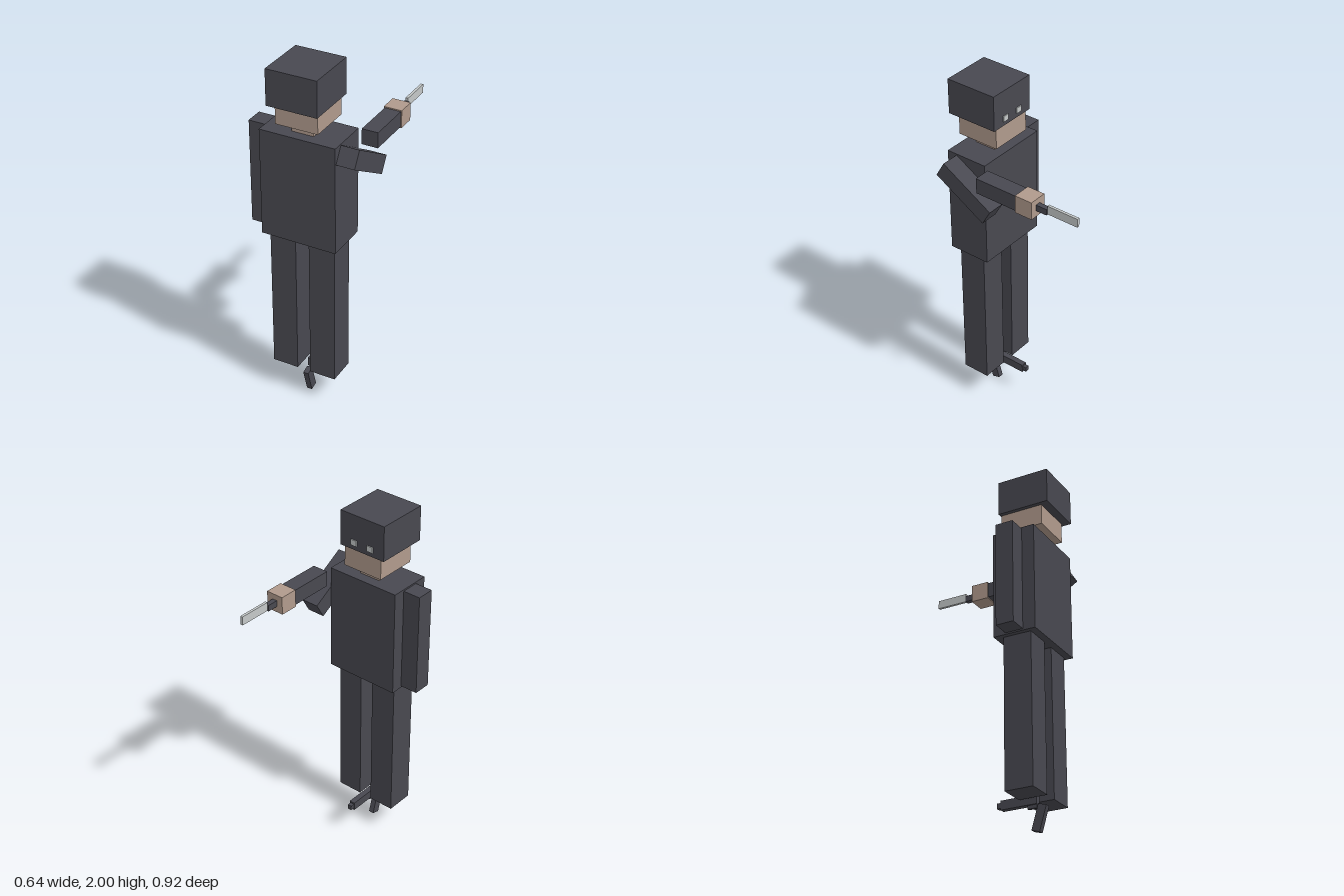
import * as THREE from 'three';

const dark = new THREE.MeshStandardMaterial({ name: 'charcoal', color: 0x484850 });
const skin = new THREE.MeshStandardMaterial({ name: 'skin', color: 0xb09a8c });
const pale = new THREE.MeshStandardMaterial({ name: 'paleMetal', color: 0xc4c8c8 });

// Box from centre and size, optionally tilted about x
function box(parent, name, material, [w, h, d], [x, y, z], tilt = 0) {
  const mesh = new THREE.Mesh(new THREE.BoxGeometry(w, h, d), material);
  mesh.name = name;
  mesh.position.set(x, y, z);
  mesh.rotation.x = tilt;
  parent.add(mesh);
  return mesh;
}

function group(parent, name) {
  const g = new THREE.Group();
  g.name = name;
  parent.add(g);
  return g;
}

export function createModel() {
  const model = new THREE.Group();
  model.name = 'blockFigure';

  // Head: helmet over a skin jaw and neck, face turned to -z
  const head = group(model, 'head');
  box(head, 'helmet', dark, [0.286, 0.2, 0.299], [0, 1.9, 0.31]);
  box(head, 'jaw', skin, [0.24, 0.117, 0.245], [0, 1.742, 0.29]);
  box(head, 'neck', skin, [0.126, 0.055, 0.125], [0, 1.657, 0.29]);
  for (const s of [-1, 1]) {
    box(head, 'eye', pale, [0.038, 0.032, 0.006], [s * 0.053, 1.841, 0.158]);
  }

  // Body and legs
  box(model, 'torso', dark, [0.432, 0.61, 0.245], [0, 1.325, 0.29]);
  for (const s of [-1, 1]) {
    box(model, 'leg', dark, [0.15, 0.845, 0.16], [s * 0.114, 0.5975, 0.293]);
  }

  // Hanging arm
  box(model, 'hangingArm', dark, [0.103, 0.592, 0.102], [-0.267, 1.325, 0.29]);

  // Reaching arm: tilted upper arm, level forearm and hand
  const arm = group(model, 'reachingArm');
  box(arm, 'upperArm', dark, [0.103, 0.101, 0.348], [0.267, 1.492, 0.229], -0.53);
  box(arm, 'forearm', dark, [0.092, 0.088, 0.255], [0.267, 1.572, 0.016]);
  box(arm, 'hand', skin, [0.103, 0.101, 0.103], [0.267, 1.572, -0.163]);

  // Knife
  const knife = group(model, 'knife');
  box(knife, 'knifeHandle', dark, [0.029, 0.035, 0.064], [0.267, 1.573, -0.246]);
  box(knife, 'knifeBlade', pale, [0.015, 0.049, 0.184], [0.266, 1.583, -0.37]);

  // Pistol between the feet
  const pistol = group(model, 'pistol');
  box(pistol, 'slide', dark, [0.033, 0.05, 0.207], [0, 0.174, 0.198]);
  box(pistol, 'muzzle', dark, [0.024, 0.029, 0.024], [0, 0.174, 0.084]);
  box(pistol, 'trigger', dark, [0.016, 0.02, 0.055], [0, 0.14, 0.272]);
  box(pistol, 'grip', dark, [0.031, 0.141, 0.048], [0, 0.0745, 0.312], 0.29);

  return model;
}
